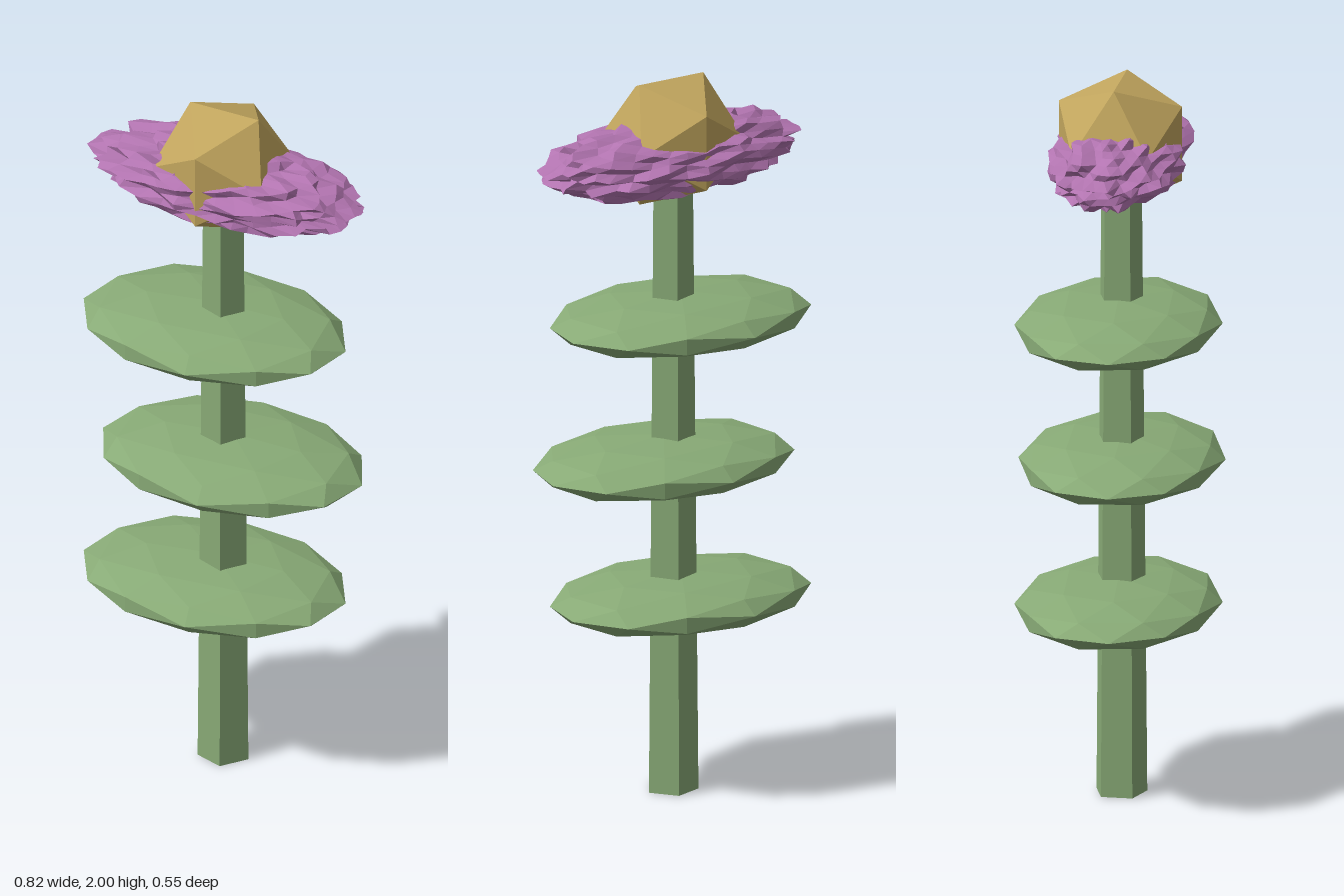
import * as THREE from 'three';

const material = (color) => new THREE.MeshStandardMaterial({ color, flatShading: true });

function addMesh(group, name, geometry, mat) {
  const mesh = new THREE.Mesh(geometry, mat);
  mesh.name = name;
  group.add(mesh);
  return mesh;
}

// Repeatable value in 0..1 for a position, so shared corners move together
function hash(x, y, z) {
  const key = [x, y, z].map((v) => Math.round(v * 1000));
  const s = Math.sin(key[0] * 12.9898 + key[1] * 78.233 + key[2] * 37.719) * 43758.5453;
  return s - Math.floor(s);
}

// Ball whose corners are pushed in by varying amounts, leaving short spikes
function spikyBall(detail, depth) {
  const geometry = new THREE.IcosahedronGeometry(1, detail);
  const pos = geometry.attributes.position;
  const v = new THREE.Vector3();
  for (let i = 0; i < pos.count; i++) {
    v.fromBufferAttribute(pos, i);
    v.multiplyScalar(1 - depth * hash(v.x, v.y, v.z));
    pos.setXYZ(i, v.x, v.y, v.z);
  }
  return geometry;
}

export function createModel() {
  const group = new THREE.Group();
  const green = material(0x88aa76);
  const purple = material(0xb274b0);
  const gold = material(0xc2a65e);

  // Five-sided tapered stem with one edge towards +x
  const stem = new THREE.CylinderGeometry(0.058, 0.073, 1.75, 5);
  stem.rotateY(Math.PI / 2).translate(0, 0.875, 0);
  addMesh(group, 'stem', stem, green);

  // Flattened leaf discs, shifted alternately to each side
  const leaves = [
    { x: -0.03, y: 0.54, turn: 0.145 },
    { x: 0.025, y: 0.93, turn: 0.1 },
    { x: -0.03, y: 1.325, turn: 0.145 },
  ];
  leaves.forEach(({ x, y, turn }, i) => {
    const leaf = new THREE.IcosahedronGeometry(1, 1);
    leaf.rotateY(turn).scale(0.382, 0.073, 0.278).translate(x, y, 0);
    addMesh(group, `leaf${i + 1}`, leaf, green);
  });

  // Spiky oval of petals
  const petals = spikyBall(6, 0.2);
  petals.scale(0.42, 0.113, 0.194).translate(0.005, 1.79, 0);
  addMesh(group, 'petals', petals, purple);

  // Faceted flower centre
  const centre = new THREE.IcosahedronGeometry(0.198, 0);
  centre.translate(0, 1.832, 0);
  addMesh(group, 'flowerCentre', centre, gold);

  return group;
}
